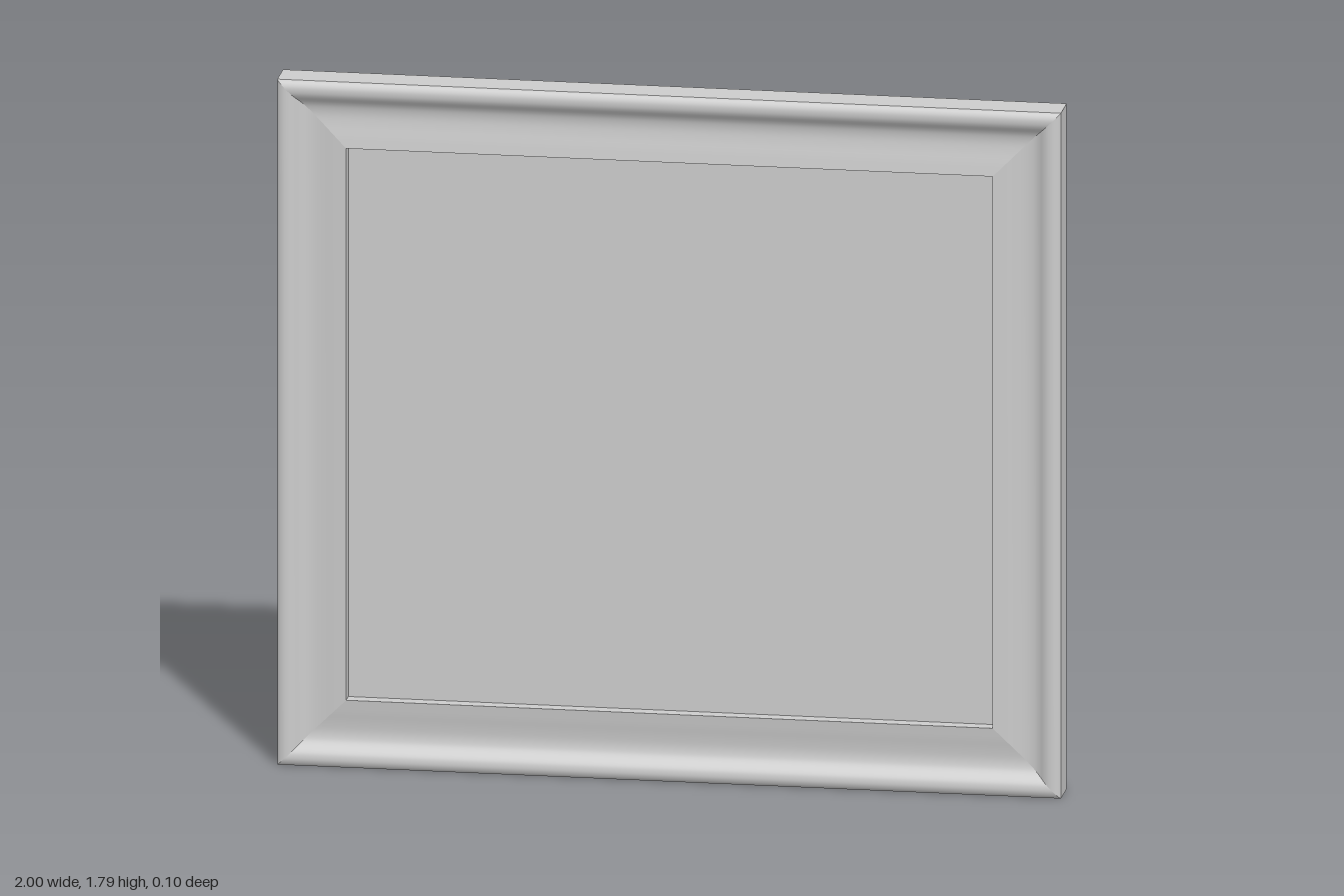
import * as THREE from 'three';
import { mergeGeometries } from 'three/addons/utils/BufferGeometryUtils.js';

const HALF_W = 1, HEIGHT = 1.795, HALF_H = HEIGHT / 2;
const BACK = -0.052, EDGE = 0.039, LIP = 0.035, PANEL = 0, BAR = 0.175;

// Mitred strips: sweeps a profile of [inset, z] points round the four bars.
function sweepFrame(profile) {
  const corners = [[1, -1], [1, 1], [-1, 1], [-1, -1]];
  const bars = corners.map((a, i) => {
    const b = corners[(i + 1) % 4];
    const pos = [], index = [];
    profile.forEach(([d, z], j) => {
      for (const [sx, sy] of [a, b]) pos.push(sx * (HALF_W - d), sy * (HALF_H - d), z);
      if (j < profile.length - 1) {
        const k = 2 * j;
        index.push(k, k + 1, k + 3, k, k + 3, k + 2);
      }
    });
    const g = new THREE.BufferGeometry();
    g.setAttribute('position', new THREE.Float32BufferAttribute(pos, 3));
    g.setIndex(index);
    g.computeVertexNormals();
    return g;
  });
  return mergeGeometries(bars);
}

export function createModel() {
  const group = new THREE.Group();
  const material = new THREE.MeshStandardMaterial({ color: 0xcccccc });
  const add = (name, geometry) => {
    const mesh = new THREE.Mesh(geometry, material);
    mesh.name = name;
    mesh.position.y = HALF_H;
    group.add(mesh);
    return mesh;
  };

  // Moulding: rounded outer bead, then a cove rising gently to the inner lip
  const curve = new THREE.SplineCurve([
    [0, EDGE], [0.006, 0.046], [0.018, 0.051], [0.032, 0.05], [0.044, 0.044],
    [0.056, 0.034], [0.07, 0.027], [0.09, 0.024], [0.115, 0.026],
    [0.145, 0.031], [BAR, LIP],
  ].map(([d, z]) => new THREE.Vector2(d, z)));
  add('moulding', sweepFrame(curve.getPoints(40).map(p => [p.x, p.y])));

  // Straight outer sides and the step down to the panel
  add('outerSides', sweepFrame([[0, BACK], [0, EDGE]]));
  add('innerLip', sweepFrame([[BAR, LIP], [BAR, PANEL]]));

  // Recessed flat panel
  const panel = add('panel', new THREE.PlaneGeometry(2 * (HALF_W - BAR), HEIGHT - 2 * BAR));
  panel.position.z = PANEL;

  // Flat back
  const back = add('back', new THREE.PlaneGeometry(2 * HALF_W, HEIGHT));
  back.position.z = BACK;
  back.rotation.y = Math.PI;

  return group;
}
